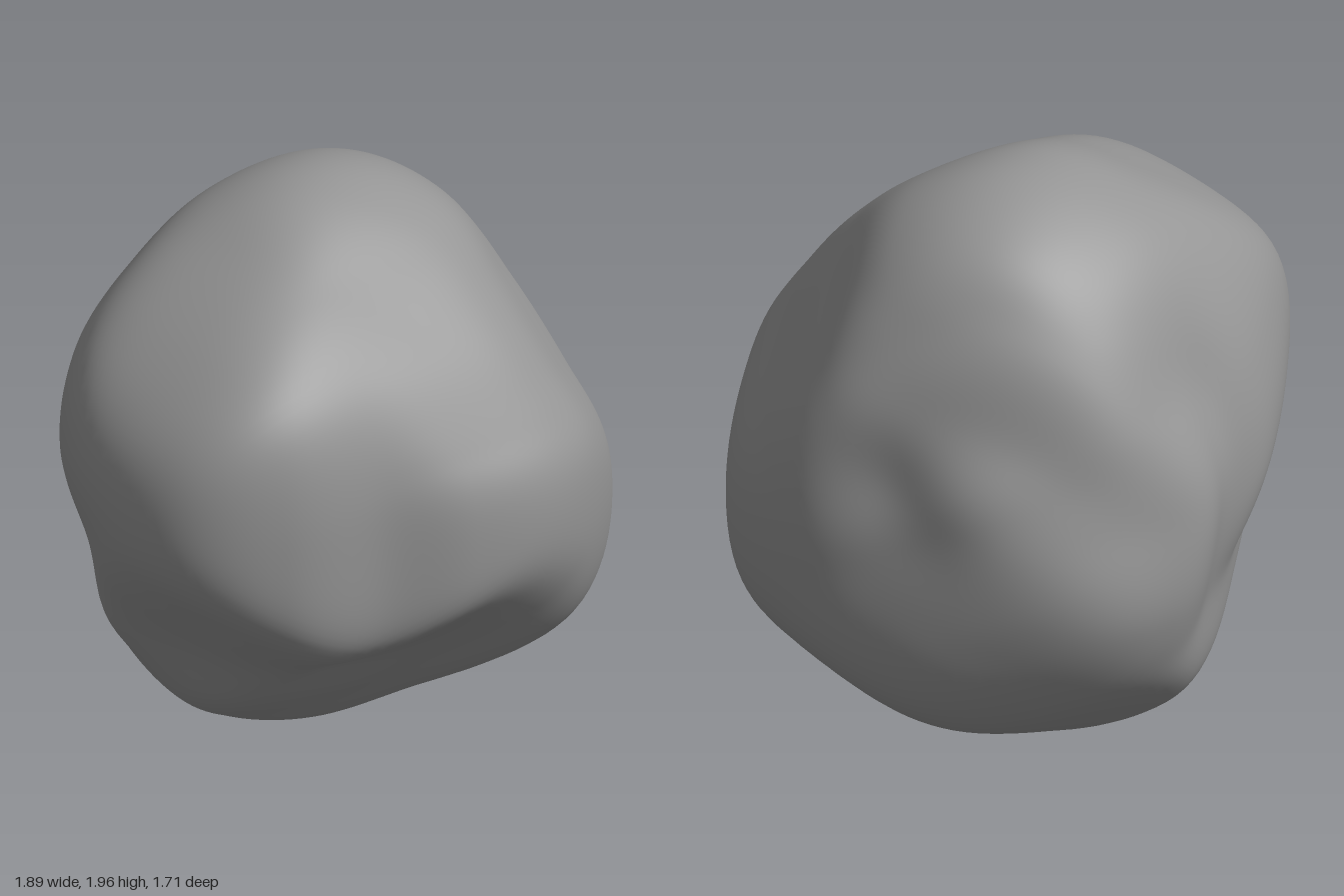
import * as THREE from 'three';
import { mergeVertices } from 'three/addons/utils/BufferGeometryUtils.js';

// Contours of the boulder: the axis each one wraps around, and its radius
// every 22.5 degrees, counter-clockwise from the right.
const E = Math.sin(25 * Math.PI / 180), C = Math.cos(25 * Math.PI / 180) * Math.SQRT1_2;
const contours = [
  { axis: [0, 0, 1], radii: [.94, .915, .92, 1.02, .985, .92, .935, .975, .93, .855, .86, .96, .995, .977, 1.04, 1.025] },
  { axis: [1, 0, 0], radii: [.84, .83, .88, .965, .995, .87, .82, .82, .9, .83, .815, .84, .985, 1.045, .99, .925] },
  { axis: [0, 1, 0], radii: [.94, .86, .865, .9, .885, .78, .81, .85, .93, .975, .88, .76, .82, .905, .94, .975] },
  { axis: [C, E, C], radii: [.85, .815, .895, .963, .94, .906, .957, 1.01, .945, .86, .72, .75, .885, .95, 1.04, .907] },
  { axis: [-C, E, -C], radii: [.957, .955, .893, .85, .925, .985, .9, .865, .835, .907, .97, .995, 1.045, .91, .82, .846] },
  { axis: [C, -E, -C], radii: [.8, .82, .845, .92, .985, .95, .845, .85, .945, .97, .89, .81, .86, .9, .865, .75] },
].map(({ axis, radii }) => {
  const f = new THREE.Vector3(...axis);
  const right = f.y === 1 ? new THREE.Vector3(1, 0, 0) : new THREE.Vector3(0, 1, 0).cross(f).normalize();
  return { right, up: f.clone().cross(right), radii, limits: [...radii] };
});

// Knobs (positive) and hollows (negative): direction, height, spread
const lumps = [
  [[.74, .16, -.32], -.075, .19],
  [[.55, .03, -.62], .03, .2],
  [[-.42, -.5, .52], -.045, .18],
  [[-.2, -.72, .42], .03, .18],
  [[.63, -.67, .05], -.055, .2],
  [[-.18, .36, -.64], -.05, .2],
  [[-.17, .03, -.83], .03, .18],
  [[-.09, -.4, -.78], -.035, .18],
  [[-.52, -.65, .15], .05, .22],
].map(([dir, height, spread]) => ({ dir: new THREE.Vector3(...dir).normalize(), height, spread }));

// Smooth closed curve through evenly spaced radii
function radiusAt(radii, angle) {
  const n = radii.length;
  const t = ((angle / (2 * Math.PI)) * n + n) % n;
  const i = Math.floor(t), k = t - i;
  const [a, b, c, d] = [-1, 0, 1, 2].map(o => radii[(i + o + n) % n]);
  return b + .5 * k * (c - a + k * (2 * a - 5 * b + 4 * c - d + k * (3 * (b - c) + d - a)));
}

// Soft minimum of all contour limits, plus the lumps
function surfaceRadius(dir) {
  const p = 13;
  let sum = 0;
  for (const { right, up, limits } of contours) {
    const x = dir.dot(right), y = dir.dot(up);
    sum += (Math.hypot(x, y) / radiusAt(limits, Math.atan2(y, x))) ** p;
  }
  let r = sum ** (-1 / p);
  for (const l of lumps) r += l.height * Math.exp(-dir.distanceToSquared(l.dir) / (2 * l.spread ** 2));
  return r;
}

// The soft minimum rounds off the contours: ease the limits until they are met
function easeLimits(dirs) {
  const points = dirs.map(d => d.clone().multiplyScalar(surfaceRadius(d)));
  for (const { right, up, radii, limits } of contours) {
    const n = radii.length;
    const reach = new Array(n).fill(0);
    for (const point of points) {
      const x = point.dot(right), y = point.dot(up), angle = Math.atan2(y, x);
      const t = (angle / (2 * Math.PI)) * n, i = Math.round(t);
      if (Math.abs(t - i) > .25) continue;
      const bin = (i + n) % n;
      reach[bin] = Math.max(reach[bin], Math.hypot(x, y) / radiusAt(radii, angle));
    }
    reach.forEach((ratio, i) => {
      limits[i] = THREE.MathUtils.clamp(limits[i] / ratio ** .7, radii[i] * .95, radii[i] * 1.12);
    });
  }
}

export function createModel() {
  let geometry = new THREE.IcosahedronGeometry(1, 28);
  geometry.deleteAttribute('normal');
  geometry.deleteAttribute('uv');
  geometry = mergeVertices(geometry);

  const pos = geometry.attributes.position;
  const dirs = Array.from({ length: pos.count }, (_, i) => new THREE.Vector3().fromBufferAttribute(pos, i).normalize());
  for (let pass = 0; pass < 8; pass++) easeLimits(dirs);

  dirs.forEach((d, i) => {
    const r = surfaceRadius(d);
    pos.setXYZ(i, d.x * r, d.y * r, d.z * r);
  });

  // Stand it on the ground
  geometry.center();
  geometry.computeBoundingBox();
  geometry.translate(0, -geometry.boundingBox.min.y, 0);
  geometry.computeVertexNormals();

  const boulder = new THREE.Mesh(geometry, new THREE.MeshStandardMaterial({ color: 0x959595 }));
  boulder.name = 'boulder';
  const group = new THREE.Group();
  group.name = 'rock';
  group.add(boulder);
  return group;
}
